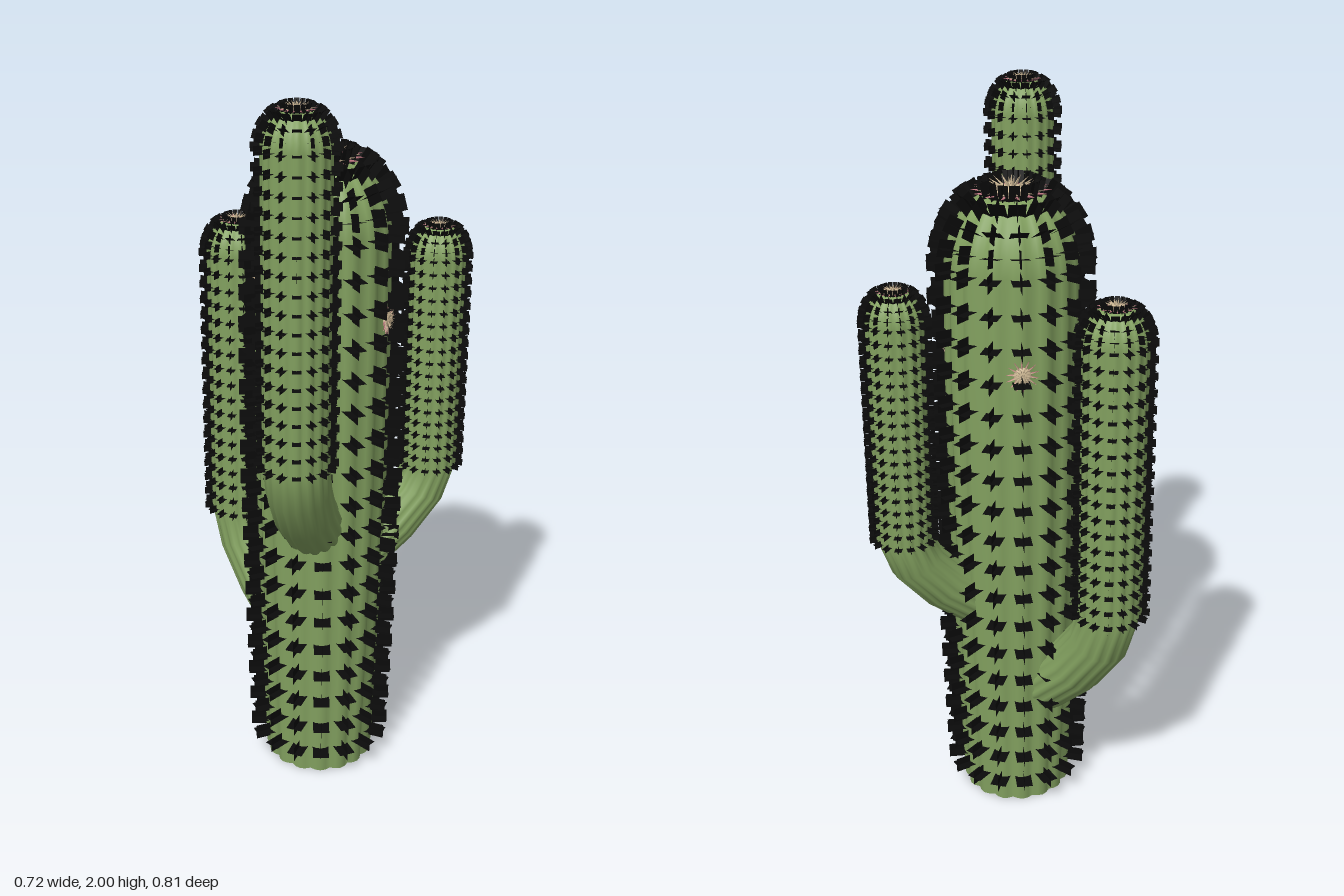
import * as THREE from 'three';
import { mergeGeometries } from 'three/addons/utils/BufferGeometryUtils.js';

const RIBS = 16;
const SEG = RIBS * 4;
const UP = new THREE.Vector3(0, 1, 0);

const green = new THREE.MeshStandardMaterial({ color: 0x82a05f });
green.name = 'cactusGreen';
const black = new THREE.MeshStandardMaterial({ color: 0x0b0b0b, side: THREE.DoubleSide });
black.name = 'spineBlack';
const beige = new THREE.MeshStandardMaterial({ color: 0xd2bc98 });
beige.name = 'flowerBeige';
const pink = new THREE.MeshStandardMaterial({ color: 0xcc7f8a });
pink.name = 'petalPink';

// rounded tip as [radius, height] fractions of the column radius
const DOME = [[0.95, 0.3], [0.84, 0.58], [0.66, 0.82], [0.45, 0.95], [0.25, 0.99], [0.001, 1]];
// spine rows on the tip: [radius, height, elevation]
const TIP_ROWS = [[0.95, 0.3, 0.25], [0.84, 0.58, 0.55], [0.64, 0.83, 0.95], [0.38, 0.96, 1.35]];
// arm elbow as [outward, height, tilt], from inside the trunk up to the column
const ELBOW = [[-0.27, -0.34, 1.1], [-0.2, -0.285, 1.0], [-0.11, -0.2, 0.8], [-0.035, -0.1, 0.4]];

function mesh(name, geometry, material) {
  const m = new THREE.Mesh(geometry, material);
  m.name = name;
  return m;
}

// ribbed skin through rings {u, y, r, tilt}; u runs along the local x axis
function ribbedSkin(rings) {
  const pos = [], idx = [];
  rings.forEach(({ u = 0, y, r, tilt = 0 }, i) => {
    for (let j = 0; j < SEG; j++) {
      const a = (j / SEG) * Math.PI * 2;
      const rr = r * (0.93 + 0.07 * Math.abs(Math.sin(a * RIBS / 2)));
      const n = rr * Math.cos(a);
      pos.push(u + n * Math.cos(tilt), y - n * Math.sin(tilt), -rr * Math.sin(a));
      if (i < rings.length - 1) {
        const k = (j + 1) % SEG;
        const p = i * SEG + j, q = i * SEG + k;
        idx.push(p, q, q + SEG, p, q + SEG, p + SEG);
      }
    }
  });
  const g = new THREE.BufferGeometry();
  g.setAttribute('position', new THREE.Float32BufferAttribute(pos, 3));
  g.setIndex(idx);
  g.computeVertexNormals();
  return g;
}

// crossed spine plates, one on every rib of every row {y, r, el, w}
function spines(rows, length) {
  const parts = [];
  for (const { y, r, el, w } of rows) {
    for (let k = 0; k < RIBS; k++) {
      for (const turn of [0, Math.PI / 2]) {
        const g = new THREE.PlaneGeometry(length * 1.2, w);
        g.translate(length * 0.4, 0, 0).rotateX(turn).rotateZ(el);
        g.translate(r, y, 0).rotateY(((k + 0.5) / RIBS) * Math.PI * 2);
        parts.push(g);
      }
    }
  }
  return mergeGeometries(parts);
}

// ring of thin spikes opening around the y axis
function spikeRing(count, length, width, el, offset = 0) {
  const parts = [];
  for (let k = 0; k < count; k++) {
    const g = new THREE.ConeGeometry(width, length, 4);
    g.translate(0, length / 2, 0).scale(1, 1, 1).rotateZ(el - Math.PI / 2);
    g.rotateY(((k + offset) / count) * Math.PI * 2);
    parts.push(g);
  }
  return parts;
}

function flower(name, R) {
  const f = new THREE.Group();
  f.name = name;
  f.add(mesh('petals', mergeGeometries(spikeRing(14, R, R * 0.12, 0.1)), pink));
  const core = new THREE.SphereGeometry(R * 0.5, 14, 8).scale(1, 0.4, 1);
  f.add(mesh('stamens', mergeGeometries([
    ...spikeRing(14, R * 0.9, R * 0.09, 0.19),
    ...spikeRing(14, R * 0.65, R * 0.07, 0.55, 0.5),
    ...spikeRing(8, R * 0.42, R * 0.07, 1.1),
    core,
  ]), beige));
  return f;
}

// a column with rounded tip, spines and crown; levels are [y, radius]
function column(name, levels, elbow = []) {
  const g = new THREE.Group();
  g.name = name;
  const [y0] = levels[0];
  const [y1, R] = levels[levels.length - 1];
  const rings = [
    ...elbow,
    ...levels.map(([y, r]) => ({ y, r })),
    ...DOME.map(([r, h]) => ({ y: y1 + h * R, r: r * R })),
  ];
  g.add(mesh('ribbedBody', ribbedSkin(rings), green));

  const radiusAt = (y) => {
    let i = 0;
    while (i < levels.length - 2 && y > levels[i + 1][0]) i++;
    const [ya, ra] = levels[i], [yb, rb] = levels[i + 1];
    return THREE.MathUtils.lerp(ra, rb, (y - ya) / (yb - ya));
  };
  const start = elbow.length ? y0 : y0 + 0.08;
  const w = R * 0.26;
  const rows = [];
  for (let i = 0; i < 18; i++) {
    const y = start + ((y1 - start) * i) / 17;
    rows.push({ y, r: radiusAt(y), el: 0, w });
  }
  for (const [r, h, el] of TIP_ROWS) {
    rows.push({ y: y1 + h * R, r: r * R, el, w: Math.min(w, r * R * 0.4) });
  }
  g.add(mesh('spines', spines(rows, R * 0.25), black));

  const crown = flower('crownFlower', R * 0.6);
  crown.position.y = y1 + R * 0.98;
  g.add(crown);
  return g;
}

export function createModel() {
  const model = new THREE.Group();
  model.name = 'cactus';
  const cx = 0.075, cz = -0.05;

  // trunk with closed base
  const trunk = column('trunk',
    [[0, 0.155], [0.4, 0.168], [0.9, 0.18], [1.3, 0.18], [1.6, 0.175]]);
  trunk.position.set(cx, 0, cz);
  const base = ribbedSkin([{ y: 0, r: 0.001 }, { y: 0, r: 0.155 }]);
  trunk.add(mesh('base', base, green));
  model.add(trunk);

  // arms: [name, x, z, column start, column end, radius, elbow drop]
  const arms = [
    ['rightArm', -0.25, -0.125, 0.68, 1.458, 0.086, 1.05],
    ['backArm', 0.27, -0.315, 0.88, 1.49, 0.075, 0.85],
    ['frontArm', 0.212, 0.29, 1.1, 1.894, 0.085, 0.95],
  ];
  for (const [name, x, z, y0, y1, r, drop] of arms) {
    const elbow = ELBOW.map(([u, y, tilt]) => ({ u, y: y0 + y * drop, r, tilt }));
    const arm = column(name, [[y0, r], [y1, r]], elbow);
    arm.position.set(x, 0, z);
    arm.rotation.y = Math.atan2(-(z - cz), x - cx);
    model.add(arm);
  }

  // side flowers: [outward x, outward z, height]
  const blooms = [[-0.1, 0.15, 1.48], [0.18, -0.035, 1.37], [-0.105, -0.15, 1.35]];
  blooms.forEach(([x, z, y], i) => {
    const out = new THREE.Vector3(x, 0, z).normalize();
    const f = flower('sideFlower' + (i + 1), 0.046);
    f.quaternion.setFromUnitVectors(UP, out);
    f.position.set(cx, y, cz).addScaledVector(out, 0.177);
    model.add(f);
  });
  return model;
}
